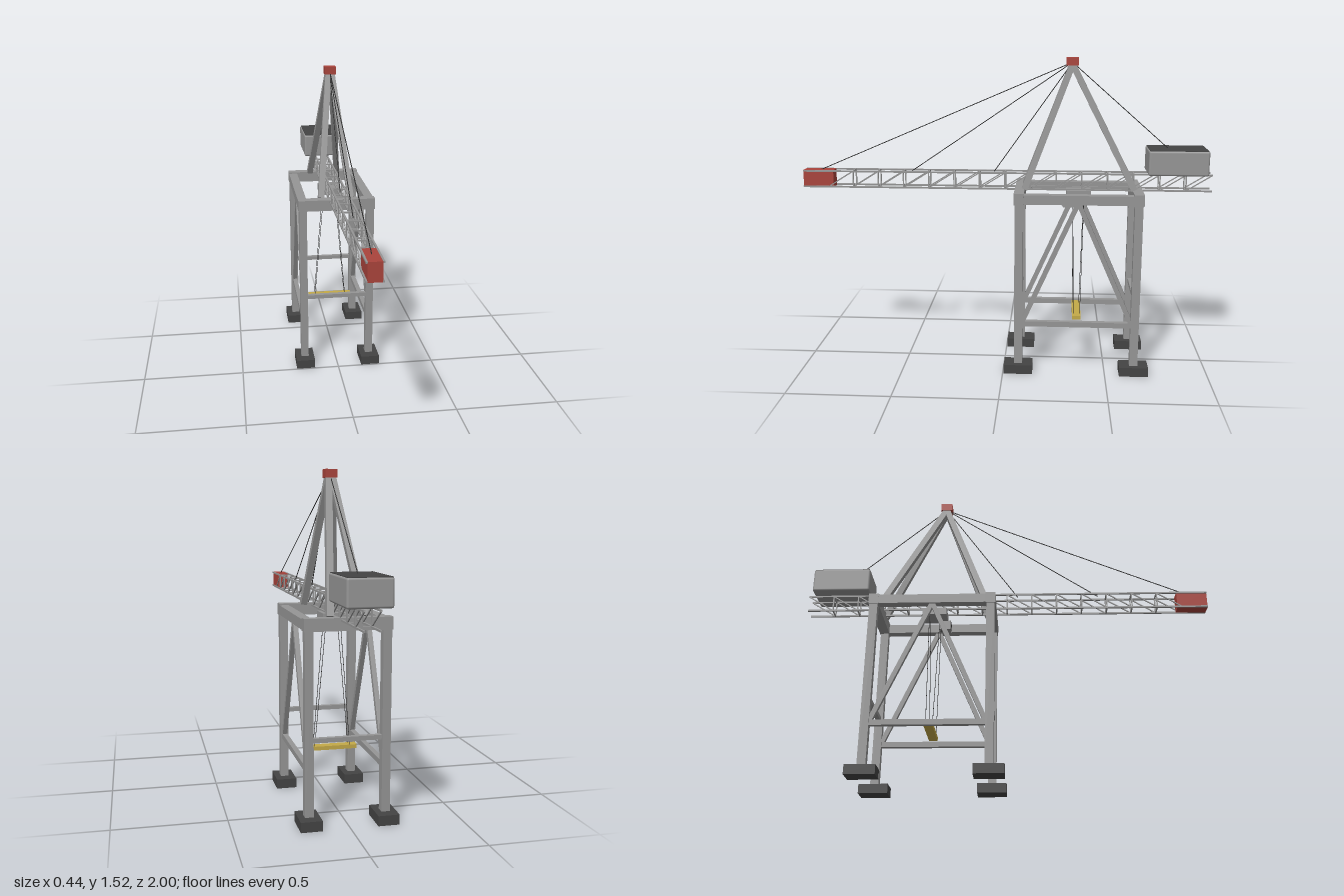
import * as THREE from 'three';
import { RoundedBoxGeometry } from 'three/addons/geometries/RoundedBoxGeometry.js';

const mat = (name, color) => {
  const m = new THREE.MeshStandardMaterial({ color });
  m.name = name;
  return m;
};
const UP = new THREE.Vector3(0, 1, 0);

export function createModel() {
  const model = new THREE.Group();
  model.name = 'harbourCrane';
  const steel = mat('steel grey', 0x969696);
  const dark = mat('dark grey', 0x444444);
  const red = mat('red', 0xaa443c);
  const yellow = mat('yellow', 0xc4aa48);
  const wire = mat('cable black', 0x2c2c2c);

  const group = (name) => {
    const g = new THREE.Group();
    g.name = name;
    model.add(g);
    return g;
  };
  const box = (parent, name, material, size, pos) => {
    const m = new THREE.Mesh(new THREE.BoxGeometry(...size), material);
    m.name = name;
    m.position.set(...pos);
    parent.add(m);
  };
  // Square bar between two points, with the least twist
  const bar = (parent, name, a, b, w) => {
    const p = new THREE.Vector3(...a), q = new THREE.Vector3(...b);
    const m = new THREE.Mesh(new THREE.BoxGeometry(w, p.distanceTo(q), w), steel);
    m.name = name;
    m.position.copy(p).add(q).multiplyScalar(0.5);
    m.quaternion.setFromUnitVectors(UP, q.sub(p).normalize());
    parent.add(m);
  };
  // Round cable between two points
  const cable = (parent, name, a, b, r) => {
    const path = new THREE.LineCurve3(new THREE.Vector3(...a), new THREE.Vector3(...b));
    const m = new THREE.Mesh(new THREE.TubeGeometry(path, 1, r, 6), wire);
    m.name = name;
    parent.add(m);
  };

  const zFront = -0.075, zBack = -0.64, zMid = -0.357, legX = 0.17;

  // Portal: legs, feet and beams
  const portal = group('portal');
  for (const z of [zFront, zBack]) {
    for (const s of [-1, 1]) {
      box(portal, 'leg', steel, [0.038, 0.82, 0.04], [s * legX, 0.45, z]);
      box(portal, 'foot', dark, [0.095, 0.045, 0.14], [s * legX, 0.0225, z]);
    }
    box(portal, 'topCrossBeam', steel, [0.386, 0.055, 0.048], [0, 0.873, z]);
    box(portal, 'lowerCrossBeam', steel, [0.31, 0.02, 0.022], [0, 0.377, z]);
  }
  for (const s of [-1, 1]) {
    const x = s * legX;
    box(portal, 'topSideBeam', steel, [0.044, 0.045, 0.54], [x, 0.871, zMid]);
    box(portal, 'lowerSideBeam', steel, [0.024, 0.026, 0.54], [x, 0.249, zMid]);
    for (const z of [-0.095, -0.62]) {
      bar(portal, 'sideBrace', [x, 0.26, z], [x, 0.855, zMid], 0.022);
    }
  }

  // Tower with its peak block
  const tower = group('tower');
  const peak = [0, 1.5, -0.32];
  for (const s of [-1, 1]) {
    for (const z of [-0.098, -0.625]) {
      bar(tower, 'towerLeg', [s * 0.075, 0.9, z], [s * 0.008, 1.492, -0.32], 0.03);
    }
  }
  box(tower, 'peakBlock', red, [0.056, 0.038, 0.058], [0, 1.505, -0.32]);

  // Lattice boom
  const boom = group('boom');
  const bx = 0.033, low = 0.891, high = 0.969, bay = 0.125;
  for (const s of [-1, 1]) {
    for (const y of [low, high]) {
      box(boom, 'chord', steel, [0.008, 0.008, 2], [s * bx, y, 0]);
    }
    for (let i = 0; i < 15; i++) {
      const z = -1 + i * bay;
      if (i) box(boom, 'post', steel, [0.006, high - low, 0.006], [s * bx, 0.93, z]);
      bar(boom, 'diagonal', [s * bx, low, z + bay], [s * bx, high, z], 0.005);
    }
  }
  for (let i = 1; i < 15; i++) {
    for (const y of [low, high]) {
      box(boom, 'rib', steel, [2 * bx, 0.006, 0.006], [0, y, -1 + i * bay]);
    }
  }
  box(boom, 'boomTip', red, [0.06, 0.084, 0.15], [0, 0.93, 0.925]);

  // Counterweight with a dark lid
  const weight = group('counterweight');
  const block = new THREE.Mesh(new RoundedBoxGeometry(0.19, 0.12, 0.285, 2, 0.01), steel);
  block.name = 'counterweightBlock';
  block.position.set(0, 1.033, -0.83);
  weight.add(block);
  box(weight, 'counterweightLid', dark, [0.18, 0.003, 0.275], [0, 1.093, -0.83]);

  // Stay cables
  const stays = group('stayCables');
  for (const [y, z] of [[0.97, 0.92], [0.97, 0.46], [0.97, 0.055], [1.09, -0.79]]) {
    cable(stays, 'stay', peak, [0, y, z], 0.0022);
  }

  // Trolley, cab, hoist cables and spreader
  const hoist = group('hoist');
  box(hoist, 'trolley', steel, [0.11, 0.035, 0.12], [0, 0.872, -0.36]);
  box(hoist, 'operatorCab', steel, [0.04, 0.048, 0.055], [0.045, 0.832, -0.313]);
  box(hoist, 'cabWindow', dark, [0.035, 0.038, 0.004], [0.045, 0.831, -0.285]);
  for (const s of [-1, 1]) {
    for (const t of [-1, 1]) {
      cable(hoist, 'hoistCable', [s * 0.032, 0.86, -0.36 + t * 0.027],
        [s * 0.083, 0.265, -0.36 + t * 0.016], 0.0013);
    }
  }
  box(hoist, 'spreader', yellow, [0.232, 0.018, 0.042], [0, 0.261, -0.36]);

  return model;
}
